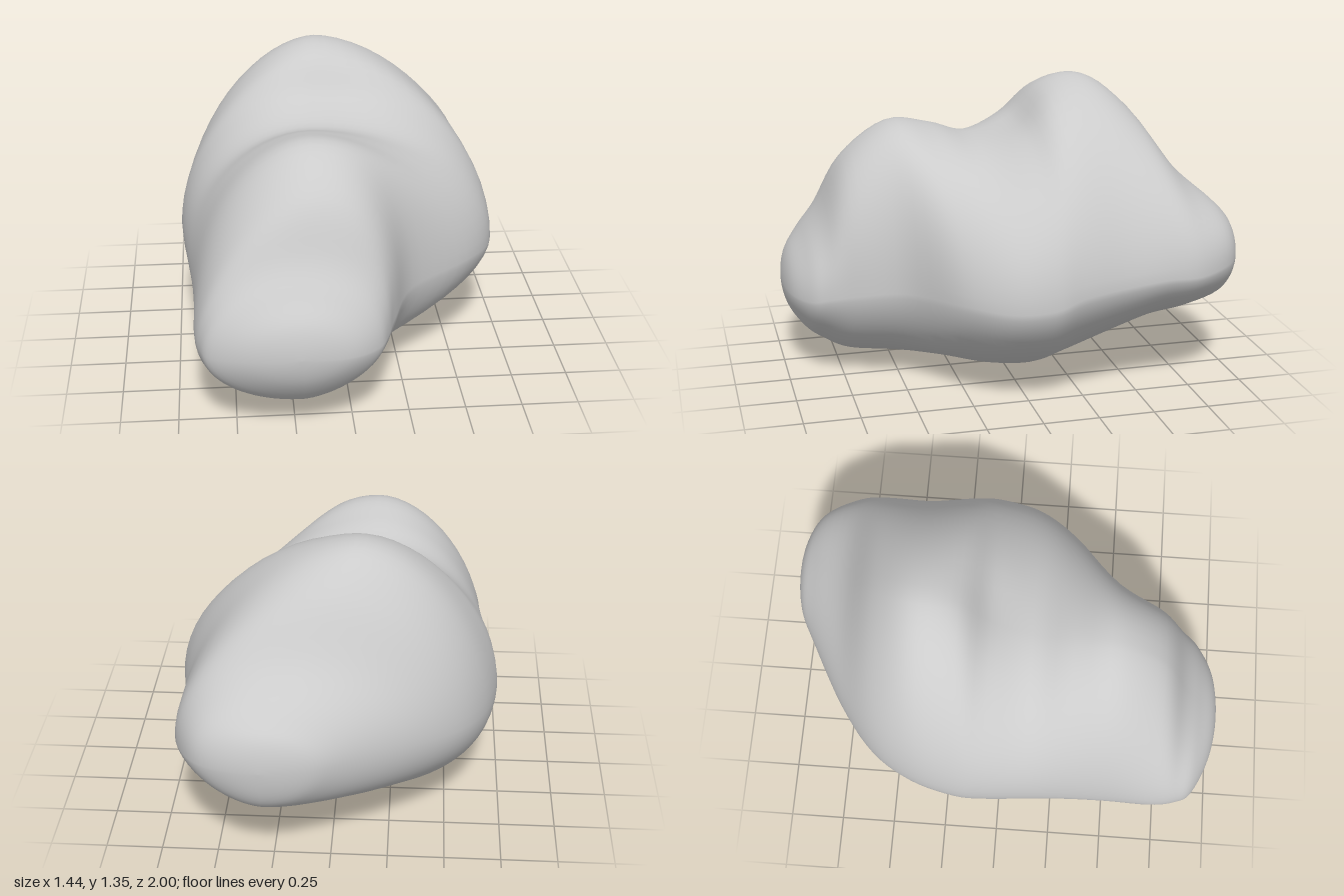
import * as THREE from 'three';

// Cross-sections from front to back:
// z, left x,y, right x,y, top y, bottom y, centre x, fullness of upper left and upper right
const SECTIONS = [
  [0.975, -0.43, 0.40, -0.03, 0.40, 0.54, 0.29, -0.23, 2.0, 2.0],
  [0.90, -0.60, 0.38, 0.10, 0.40, 0.65, 0.18, -0.23, 2.0, 2.2],
  [0.82, -0.65, 0.39, 0.15, 0.42, 0.77, 0.12, -0.22, 1.85, 2.3],
  [0.71, -0.67, 0.40, 0.19, 0.44, 1.00, 0.075, -0.18, 1.65, 2.4],
  [0.50, -0.67, 0.42, 0.29, 0.47, 1.155, 0.055, -0.16, 1.8, 2.2],
  [0.30, -0.68, 0.45, 0.56, 0.49, 1.135, 0.04, -0.15, 1.9, 1.8],
  [0.12, -0.70, 0.49, 0.69, 0.48, 1.09, 0.01, -0.13, 1.95, 2.0],
  [-0.06, -0.72, 0.52, 0.72, 0.49, 1.18, 0.00, -0.11, 1.9, 2.0],
  [-0.20, -0.72, 0.53, 0.70, 0.53, 1.32, 0.04, -0.09, 1.75, 1.8],
  [-0.40, -0.67, 0.55, 0.67, 0.55, 1.345, 0.12, -0.08, 1.75, 1.7],
  [-0.58, -0.56, 0.57, 0.67, 0.57, 1.21, 0.22, 0.00, 1.8, 1.8],
  [-0.74, -0.36, 0.59, 0.66, 0.57, 0.97, 0.285, 0.12, 1.9, 2.15],
  [-0.90, -0.07, 0.60, 0.575, 0.59, 0.82, 0.36, 0.26, 2.0, 2.3],
  [-0.975, 0.09, 0.60, 0.45, 0.60, 0.73, 0.45, 0.28, 2.0, 2.0],
];

// A section shrunk to one point
const pole = (z, x, y) => [z, x, y, x, y, y, y, x, 2, 2];

// Mirror image of a section through its pole, so the end closes roundly
const beyond = (p, s) => p.map((v, i) => (i === 0 || i > 7 ? s[i] : 2 * v - s[i]));

function catmull(a, b, c, d, t) {
  return b + 0.5 * t * (c - a + t * (2 * a - 5 * b + 4 * c - d + t * (3 * (b - c) + d - a)));
}

// Point on a section: four superellipse quarters joined at the extremes
function sectionPoint(s, angle) {
  const [z, xl, yl, xr, yr, yt, yb, cx, fullLeft, fullRight] = s;
  const c = Math.cos(angle), n = Math.sin(angle);
  const right = c >= 0, up = n >= 0;
  const e = 2 / (right ? (up ? fullRight : 1.65) : (up ? fullLeft : 2));
  const cy = right ? yr : yl;
  const x = cx + ((right ? xr : xl) - cx) * Math.abs(c) ** e;
  let y = cy + ((up ? yt : yb) - cy) * Math.abs(n) ** e;
  // Slight hollow between the two upper humps
  if (up) y -= 0.03 * n * Math.exp(-((x + 0.03) ** 2) / 0.03 - ((z + 0.09) ** 2) / 0.015);
  return [x, y, z];
}

function loftGeometry(steps, sides) {
  const front = pole(1, -0.23, 0.41), back = pole(-1, 0.28, 0.6);
  const rows = [
    beyond(front, SECTIONS[0]), front, ...SECTIONS, back,
    beyond(back, SECTIONS[SECTIONS.length - 1]),
  ];
  const positions = [], index = [];
  const spans = rows.length - 3, rings = spans * steps;
  for (let i = 0; i <= rings; i++) {
    const k = Math.min(Math.floor(i / steps), spans - 1), t = i / steps - k;
    const s = rows[k].map((_, j) =>
      catmull(rows[k][j], rows[k + 1][j], rows[k + 2][j], rows[k + 3][j], t));
    for (let j = 0; j < sides; j++) {
      positions.push(...sectionPoint(s, (j / sides) * Math.PI * 2));
    }
  }
  for (let i = 0; i < rings; i++) {
    for (let j = 0; j < sides; j++) {
      const a = i * sides + j, b = i * sides + ((j + 1) % sides);
      const c = a + sides, d = b + sides;
      // The first and last rings are fans around the poles
      if (i < rings - 1) index.push(c, d, b);
      if (i > 0) index.push(a, c, b);
    }
  }
  const geometry = new THREE.BufferGeometry();
  geometry.setAttribute('position', new THREE.Float32BufferAttribute(positions, 3));
  geometry.setIndex(index);
  geometry.computeVertexNormals();
  return geometry;
}

export function createModel() {
  const group = new THREE.Group();
  group.name = 'rock';
  // Lumpy boulder body
  const body = new THREE.Mesh(
    loftGeometry(5, 64),
    new THREE.MeshStandardMaterial({ color: 0xcccccc }),
  );
  body.name = 'boulder';
  group.add(body);
  return group;
}
